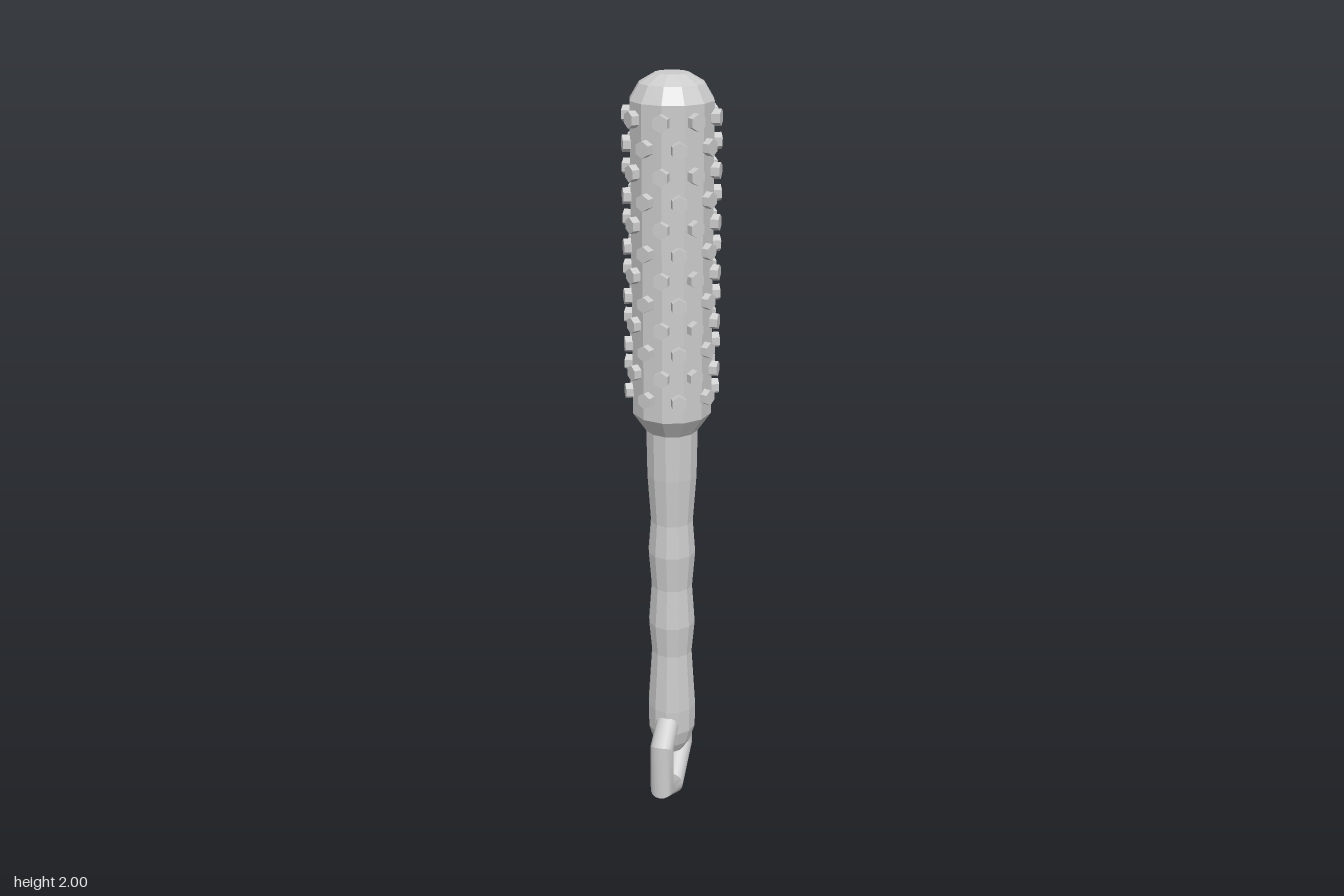
import * as THREE from 'three';
import { toCreasedNormals } from 'three/addons/utils/BufferGeometryUtils.js';

export function createModel() {
  const model = new THREE.Group();
  model.name = 'studdedClub';
  const grey = new THREE.MeshStandardMaterial({ color: 0xcccccc });
  grey.name = 'grey';

  const add = (geometry, name, parent = model) => {
    const mesh = new THREE.Mesh(geometry, grey);
    mesh.name = name;
    parent.add(mesh);
    return mesh;
  };
  // A tiny crease angle gives flat facets
  const flat = (geometry) => toCreasedNormals(geometry, 0.01);
  const lathe = (points) =>
    flat(new THREE.LatheGeometry(points.map(([r, y]) => new THREE.Vector2(r, y)), 12));

  // Handle with finger grips and a tapered pommel
  add(lathe([
    [0, 0.162], [0.033, 0.162], [0.052, 0.195], [0.065, 0.24], [0.066, 0.31],
    [0.055, 0.48], [0.063, 0.57], [0.055, 0.68], [0.063, 0.78],
    [0.056, 0.87], [0.065, 1.0], [0.067, 1.125],
  ]), 'handle');

  // Thick head with a domed end
  add(lathe([
    [0.067, 1.125], [0.101, 1.175], [0.101, 1.94], [0.078, 1.978], [0.04, 2], [0, 2],
  ]), 'head');

  // Staggered rows of hexagonal studs
  const studs = new THREE.Group();
  studs.name = 'studs';
  model.add(studs);
  const studGeometry = flat(new THREE.CylinderGeometry(0.02, 0.02, 0.03, 6));
  studGeometry.rotateX(Math.PI / 2).translate(0, 0, 0.102);
  for (let row = 0; row < 12; row++) {
    for (let i = 0; i < 8; i++) {
      const stud = add(studGeometry, 'stud', studs);
      stud.position.y = 1.903 - row * 0.061;
      stud.rotation.y = (i + (row % 2) / 2) * Math.PI / 4;
    }
  }

  // Six-sided ring of round bar through the pommel
  const ring = toCreasedNormals(new THREE.TorusGeometry(0.133, 0.032, 16, 6), 0.6);
  ring.rotateZ(Math.PI / 2).rotateY(Math.PI / 2).translate(0, 0.165, 0);
  add(ring, 'ring');

  return model;
}
